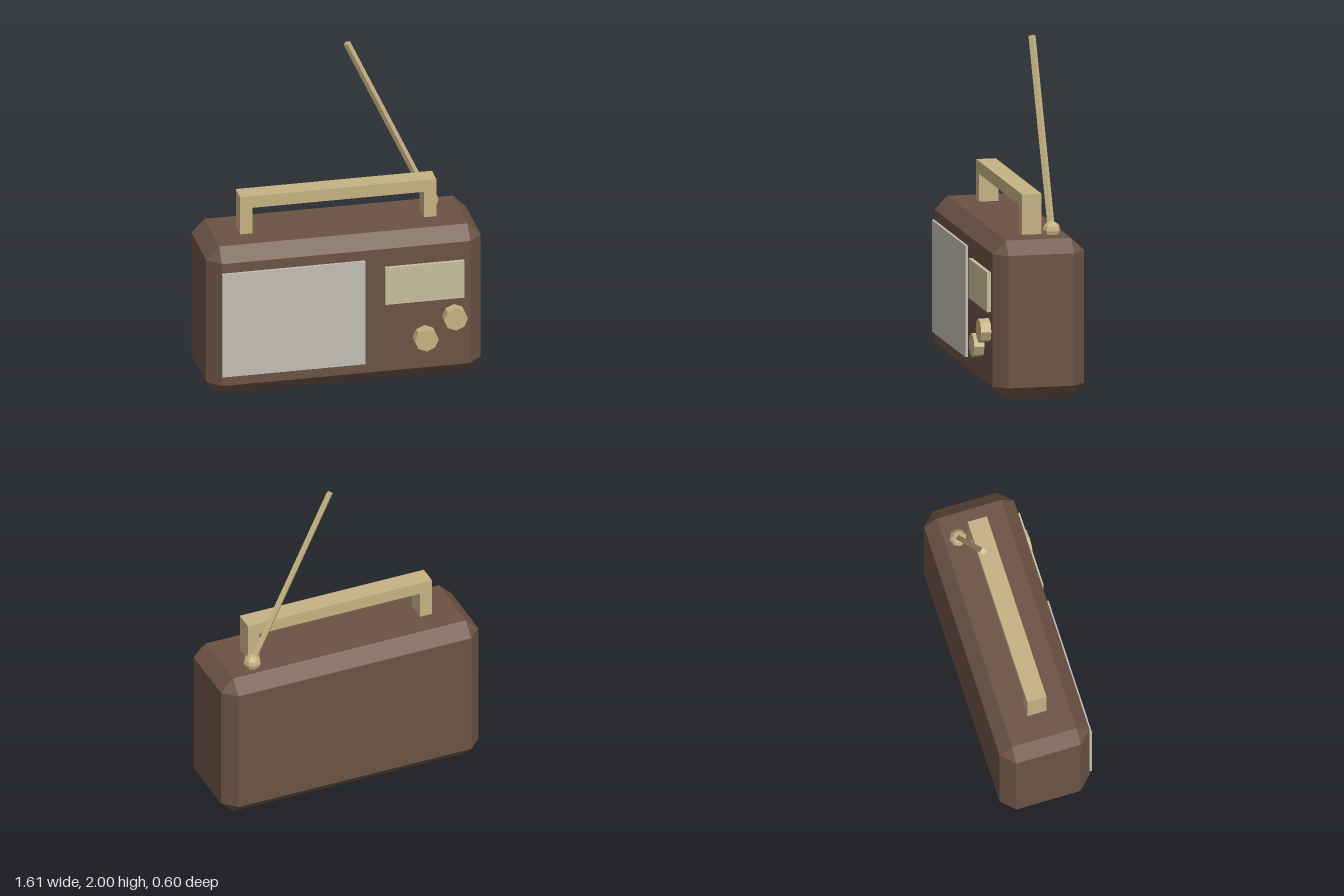
import * as THREE from 'three';
import { ConvexGeometry } from 'three/addons/geometries/ConvexGeometry.js';

export function createModel() {
  const mat = (name, color) => {
    const m = new THREE.MeshStandardMaterial({ color, flatShading: true });
    m.name = name;
    return m;
  };
  const brown = mat('brown case', 0x6b5344);
  const brass = mat('brass', 0xc4b283);
  const grey = mat('grille grey', 0xc2beb6);
  const cream = mat('dial cream', 0xc8be9c);

  const model = new THREE.Group();
  model.name = 'portableRadio';
  const add = (name, geometry, material, x, y, z, parent = model) => {
    const mesh = new THREE.Mesh(geometry, material);
    mesh.name = name;
    mesh.position.set(x, y, z);
    parent.add(mesh);
    return mesh;
  };
  const box = (w, h, d) => new THREE.BoxGeometry(w, h, d);

  // Case: a box with every edge and corner chamfered
  const half = [0.806, 0.4625, 0.27], bevel = 0.077;
  const points = [];
  for (const sx of [-1, 1]) for (const sy of [-1, 1]) for (const sz of [-1, 1]) {
    for (let face = 0; face < 3; face++) {
      const p = [sx, sy, sz].map((s, i) => s * (half[i] - (i === face ? 0 : bevel)));
      points.push(new THREE.Vector3(...p));
    }
  }
  add('case', new ConvexGeometry(points), brown, 0, 0.4625, -0.03);

  // Front panels
  add('speakerGrille', box(0.84, 0.65, 0.03), grey, -0.31, 0.463, 0.24);
  add('tuningDial', box(0.463, 0.232, 0.04), cream, 0.458, 0.62, 0.242);

  // Octagonal knobs
  for (const [name, x, y] of [['volumeKnob', 0.46, 0.274], ['tuningKnob', 0.632, 0.389]]) {
    add(name, new THREE.CylinderGeometry(0.07, 0.07, 0.07, 8), brass, x, y, 0.265).rotation.x = Math.PI / 2;
  }

  // Carrying handle: two posts and a bar
  const handle = new THREE.Group();
  handle.name = 'handle';
  model.add(handle);
  for (const s of [-1, 1]) {
    add(s > 0 ? 'leftPost' : 'rightPost', box(0.074, 0.163, 0.115), brass, s * 0.539, 1.0055, -0.028, handle);
  }
  add('handleBar', box(1.152, 0.074, 0.115), brass, 0, 1.123, -0.028, handle);

  // Antenna: pivot ball and leaning four-sided rod
  const antenna = new THREE.Group();
  antenna.name = 'antenna';
  antenna.position.set(0.575, 0.947, -0.143);
  model.add(antenna);
  add('pivotBall', new THREE.SphereGeometry(0.052, 8, 6), brass, 0, 0, 0, antenna);
  const length = 1.152;
  const rod = new THREE.CylinderGeometry(0.021, 0.021, length, 4).translate(0, length / 2, 0);
  add('rod', rod, brass, 0, 0, 0, antenna).rotation.z = THREE.MathUtils.degToRad(25);

  return model;
}
